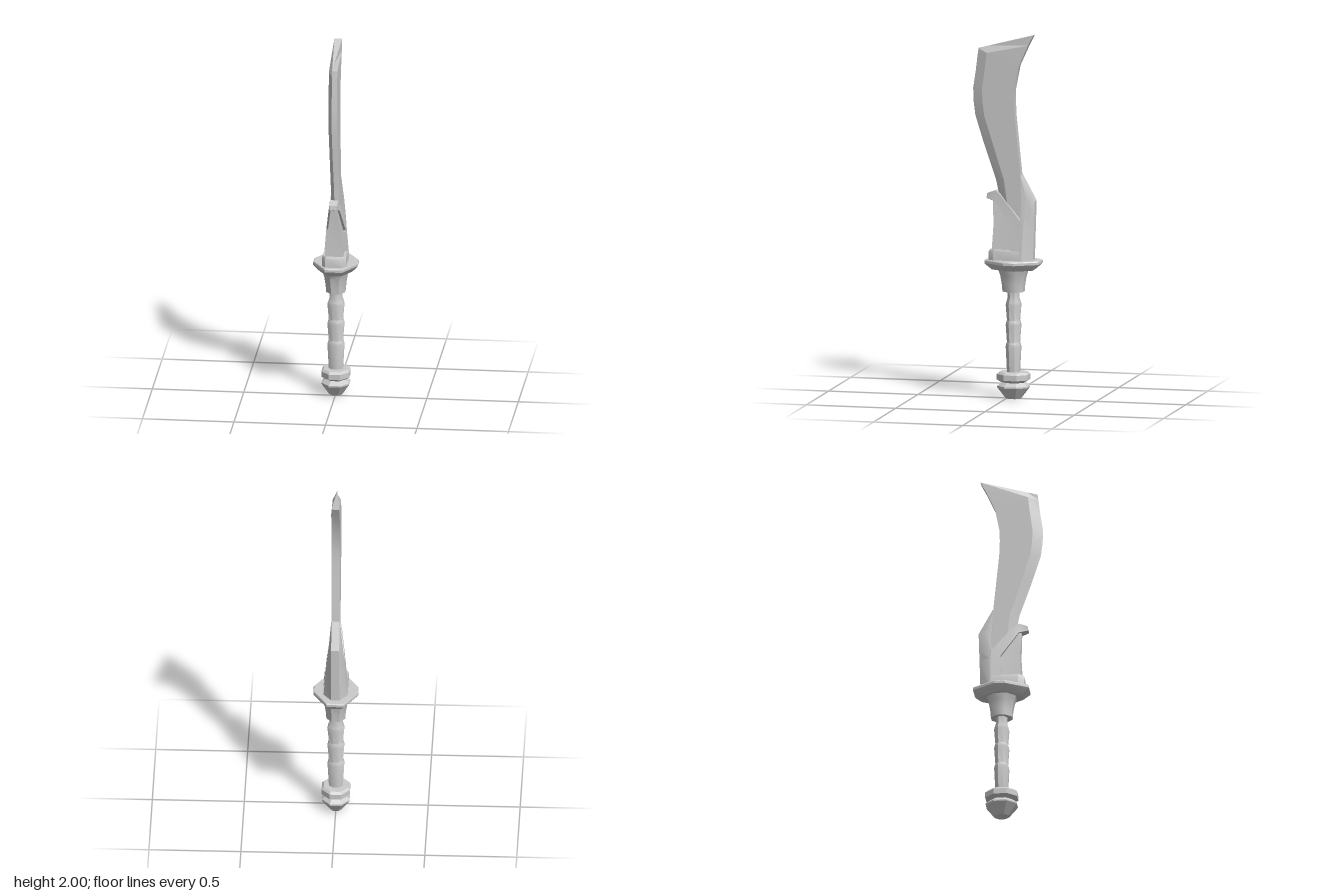
import * as THREE from 'three';
import { toCreasedNormals } from 'three/addons/utils/BufferGeometryUtils.js';

const AXIS_Z = -0.036; // centre line of grip, neck and guard
const material = new THREE.MeshStandardMaterial({ color: 0xcccccc });

// Mesh from triangles of [x, y, z] corners, turned outward by its signed volume
function solid(name, tris, crease) {
  const v = tris.map((t) => t.map((p) => new THREE.Vector3(...p)));
  const volume = v.reduce((s, [a, b, c]) => s + a.dot(b.clone().cross(c)), 0);
  if (volume < 0) v.forEach((t) => t.reverse());
  const geometry = new THREE.BufferGeometry().setFromPoints(v.flat());
  const mesh = new THREE.Mesh(toCreasedNormals(geometry, crease), material);
  mesh.name = name;
  return mesh;
}

// Skin a stack of equal-length convex rings and close both ends
function loft(name, rings, crease = 0.5) {
  const tris = [];
  const n = rings[0].length;
  for (let i = 0; i < rings.length - 1; i++) {
    for (let j = 0; j < n; j++) {
      const k = (j + 1) % n;
      const a = rings[i][j], b = rings[i][k], c = rings[i + 1][k], d = rings[i + 1][j];
      tris.push([a, b, c], [a, c, d]);
    }
  }
  const first = rings[0], last = rings[rings.length - 1];
  for (let j = 1; j < n - 1; j++) {
    tris.push([first[0], first[j + 1], first[j]], [last[0], last[j], last[j + 1]]);
  }
  return solid(name, tris, crease);
}

// Side outline of [z, y, halfWidth] points, mirrored into a slab of varying thickness
function slab(name, outline, crease = 0.4) {
  const flat = outline.map(([z, y]) => new THREE.Vector2(z, y));
  if (THREE.ShapeUtils.isClockWise(flat)) { flat.reverse(); outline = [...outline].reverse(); }
  const L = outline.map(([z, y, w]) => [w, y, z]);
  const R = outline.map(([z, y, w]) => [-w, y, z]);
  const tris = [];
  for (const [a, b, c] of THREE.ShapeUtils.triangulateShape(flat, [])) {
    tris.push([L[c], L[b], L[a]], [R[a], R[b], R[c]]);
  }
  L.forEach((p, i) => {
    const k = (i + 1) % L.length;
    tris.push([p, L[k], R[k]], [p, R[k], R[i]]);
  });
  return solid(name, tris, crease);
}

// Eight-sided turned part from [radius, y] rows, flats facing front and sides
function turned(name, rows, sx, sz, crease) {
  const rings = rows.map(([r, y]) => Array.from({ length: 8 }, (_, i) => {
    const a = (i + 0.5) * Math.PI / 4;
    const R = r / Math.cos(Math.PI / 8);
    return [Math.cos(a) * R * sx, y, AXIS_Z + Math.sin(a) * R * sz];
  }));
  return loft(name, rings, crease);
}

export function createModel() {
  const model = new THREE.Group();
  model.name = 'curvedSword';

  // Pommel: two stacked faceted rings
  model.add(turned('pommel', [
    [0.036, 0], [0.077, 0.062], [0.077, 0.07], [0.056, 0.09],
    [0.079, 0.105], [0.079, 0.135], [0.068, 0.147],
  ], 0.97, 1.1, 0.4));

  // Grip: three wrapped segments, each stepping out at its top
  const grip = [[0.037, 0.14]];
  for (const [y0, y1] of [[0.15, 0.3], [0.31, 0.42], [0.43, 0.53]]) {
    grip.push([0.037, y0], [0.044, y1 - 0.015], [0.041, y1]);
  }
  grip.push([0.033, 0.555], [0.035, 0.6]);
  model.add(turned('grip', grip, 1.03, 0.9, 0.8));

  // Neck flaring up to the guard
  model.add(turned('neck', [
    [0.053, 0.588], [0.056, 0.63], [0.064, 0.68], [0.078, 0.725],
  ], 0.97, 1.08, 0.8));

  // Guard: long octagonal plate with a bevelled underside
  const corners = [[0.047, -0.152], [0.122, -0.03], [0.122, 0.03], [0.047, 0.152]];
  const plate = [...corners, ...corners.map(([x, z]) => [-x, z]).reverse()];
  const guardRows = [[0.71, 0.75], [0.738, 0.96], [0.745, 1], [0.758, 1], [0.764, 0.97]];
  model.add(loft('guard', guardRows.map(([y, s]) =>
    plate.map(([x, z]) => [x * s, y, AXIS_Z + z * s]))));

  // Collar at the foot of the housing
  model.add(loft('collar', [[0.755, 1], [0.81, 1], [0.822, 0.93]].map(([y, s]) => [
    [0.066, -0.08], [0.066, 0.062], [0.046, 0.092],
    [-0.046, 0.092], [-0.066, 0.062], [-0.066, -0.08],
  ].map(([x, z]) => [x * s, y, z * s]))));

  // Rear housing: rows of y, back z, front z, half width, chamfer depth
  model.add(loft('rearHousing', [
    [0.755, -0.15, -0.03, 0.066, 0.055],
    [0.93, -0.155, -0.035, 0.052, 0.055],
    [0.99, -0.157, -0.085, 0.047, 0.05],
    [1.09, -0.16, -0.087, 0.036, 0.04],
    [1.23, -0.084, -0.078, 0.024, 0.003],
  ].map(([y, back, front, w, d]) => {
    const e = Math.min(w, 0.022);
    return [[e, y, back], [w, y, back + d], [w, y, front],
      [-w, y, front], [-w, y, back + d], [-e, y, back]];
  })));

  // Front panel, recessed inside the frame
  model.add(slab('frontPanel', [
    [0.075, 0.8, 0.052], [0.068, 0.95, 0.036], [0.075, 1.1, 0.016],
    [0.05, 1.1, 0.018], [-0.05, 0.97, 0.036], [-0.05, 0.8, 0.052],
  ]));

  // Frame: upright strap, diagonal strap and forward hook
  model.add(slab('hookedFrame', [
    [0.112, 1.1, 0.018], [0.107, 1.125, 0.02], [0.06, 1.142, 0.022], [0.038, 1.125, 0.026],
    [-0.045, 1.03, 0.043], [-0.09, 0.975, 0.049], [-0.09, 0.78, 0.066], [-0.035, 0.78, 0.066],
    [-0.036, 0.94, 0.053], [0.06, 1.085, 0.03], [0.085, 1.09, 0.022],
  ]));

  // Blade: rows of spine z, y, edge z, y, then half width and bevel depth
  const blade = [
    [-0.09, 0.9, 0.0, 0.9, 0.023, 0.03],
    [-0.083, 1.2, 0.062, 1.2, 0.023, 0.05],
    [-0.063, 1.4, 0.128, 1.39, 0.023, 0.055],
    [-0.047, 1.56, 0.178, 1.55, 0.023, 0.055],
    [-0.044, 1.64, 0.188, 1.63, 0.023, 0.055],
    [-0.045, 1.7, 0.19, 1.7, 0.023, 0.055],
    [-0.07, 1.83, 0.175, 1.8, 0.023, 0.055],
    [-0.122, 1.945, 0.165, 1.885, 0.023, 0.055],
    [-0.15, 2.0, 0.16, 1.92, 0.021, 0.055],
  ];
  model.add(loft('blade', blade.map(([sz, sy, ez, ey, w, bevel], i) => {
    const t = bevel / (ez - sz);
    const z = ez - bevel, y = ey + (sy - ey) * t;
    const b = i === blade.length - 1 ? w * t : w; // the tip thins to a wedge
    return [[w, sy, sz], [b, y, z], [0, ey, ez], [-b, y, z], [-w, sy, sz]];
  }), 0.35));

  return model;
}
